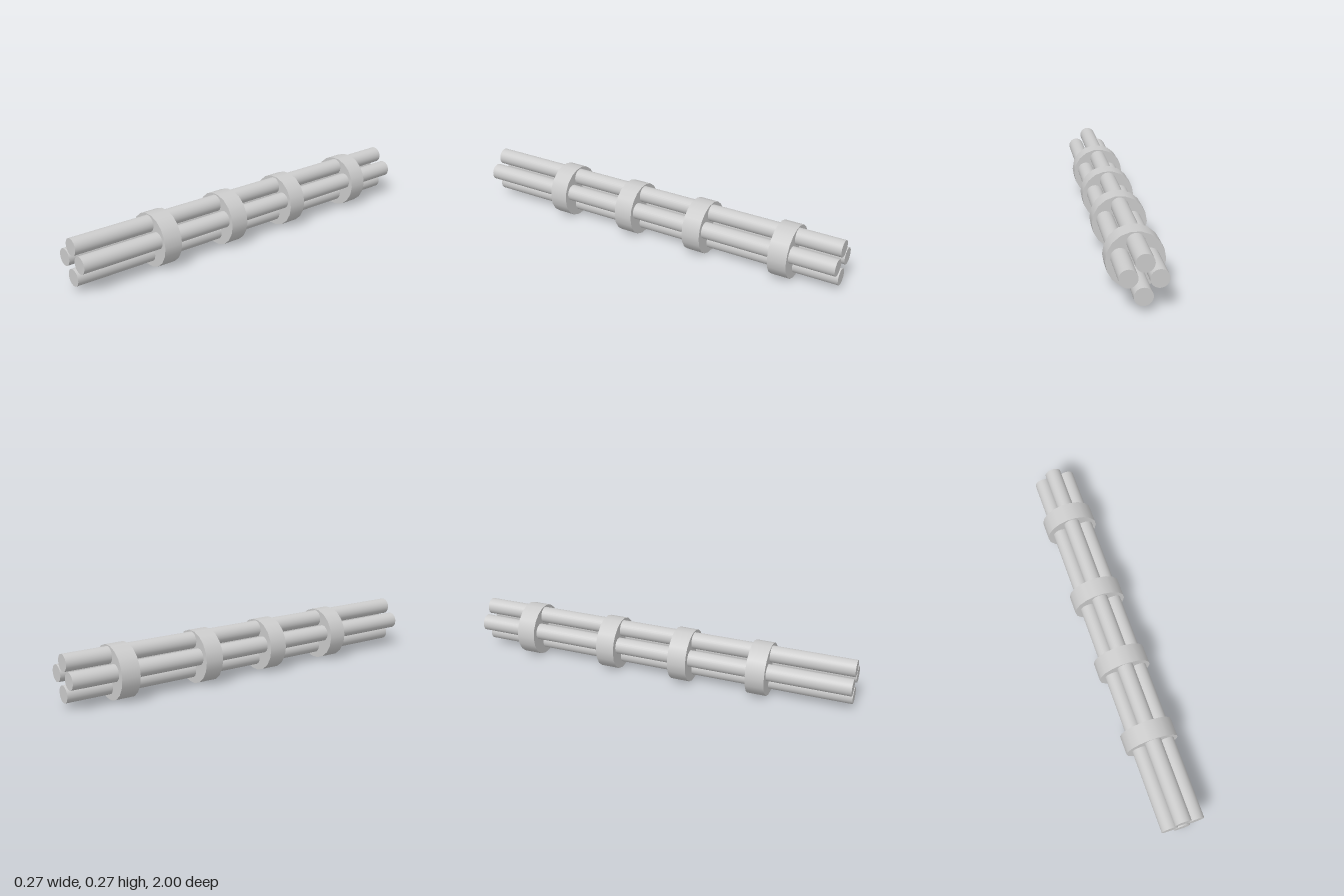
import * as THREE from 'three';

export function createModel() {
  const model = new THREE.Group();
  model.name = 'rodBundle';
  const material = new THREE.MeshStandardMaterial({ color: 0xcccccc });

  // Solid cylinder lying along z
  function addCylinder(name, radius, length, sides, x, y, z) {
    const geometry = new THREE.CylinderGeometry(radius, radius, length, sides, 1, false, Math.PI / 2);
    geometry.rotateX(Math.PI / 2);
    const mesh = new THREE.Mesh(geometry, material);
    mesh.name = name;
    mesh.position.set(x, y, z);
    model.add(mesh);
  }

  // Four long rods, slightly unevenly spaced
  const rods = [
    ['topRod', 0, 0.219],
    ['leftRod', 0.07, 0.153],
    ['bottomRod', 0.005, 0.068],
    ['rightRod', -0.063, 0.147],
  ];
  for (const [name, x, y] of rods) addCylinder(name, 0.042, 2, 32, x, y, 0);

  // Faceted collars holding the rods together
  [0.535, 0.13, -0.263, -0.723].forEach((z, i) =>
    addCylinder(`collar${i + 1}`, 0.135, 0.096, 18, 0, 0.133, z));

  return model;
}
